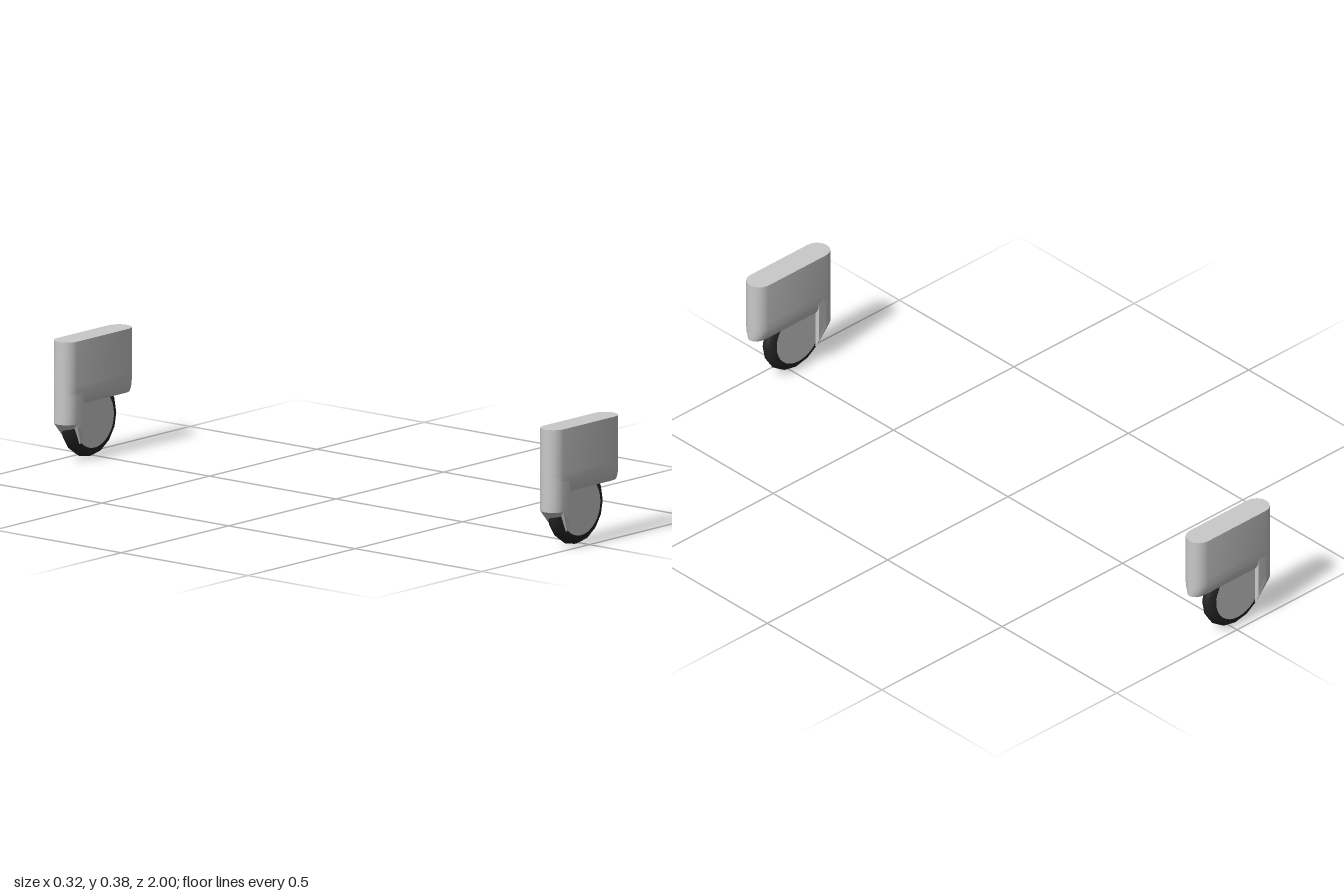
import * as THREE from 'three';
import { toCreasedNormals } from 'three/addons/utils/BufferGeometryUtils.js';

const HALF = 0.04; // half thickness of a caster housing

// Closed solid through rings of [x, y, z] points, listed from bottom to top
function loft(rings) {
  const n = rings[0].length;
  const pos = rings.flat(2);
  const index = [];
  rings.slice(1).forEach((_, r) => {
    for (let i = 0; i < n; i++) {
      const j = (i + 1) % n, a = r * n + i, b = r * n + j;
      index.push(a, a + n, b, b, a + n, b + n);
    }
  });
  const top = (rings.length - 1) * n;
  for (let i = 1; i < n - 1; i++) {
    index.push(0, i, i + 1, top, top + i + 1, top + i);
  }
  const geo = new THREE.BufferGeometry();
  geo.setAttribute('position', new THREE.Float32BufferAttribute(pos, 3));
  geo.setIndex(index);
  return toCreasedNormals(geo, 0.6);
}

// Half-circle end of the rounded outline, as [x, z]
function roundEnd(cx, start) {
  return Array.from({ length: 9 }, (_, i) => {
    const a = start + (i / 8) * Math.PI;
    return [cx + Math.cos(a) * HALF, Math.sin(a) * HALF];
  });
}

// Upper housing: stadium section whose sides draw in at the bottom edge
function housingGeometry() {
  const outline = [...roundEnd(0.12, -Math.PI / 2), ...roundEnd(-0.12, Math.PI / 2)];
  const levels = [[0.178, 0.7], [0.192, 0.9], [0.215, 1], [0.24, 1], [0.377, 1]];
  return loft(levels.map(([y, s]) => outline.map(([x, z]) => [x, y, z * s])));
}

// Fork leg: rounded outer edge, lower end slanting down towards the hub
function legGeometry() {
  const outline = [[-0.09, -HALF], [-0.09, HALF], ...roundEnd(-0.12, Math.PI / 2)];
  const foot = (x) => (x > -0.1 ? 0.055 : 0.122);
  return loft([
    outline.map(([x, z]) => [x, foot(x), z * (x > -0.1 ? 0.7 : 1)]),
    outline.map(([x, z]) => [x, foot(x) + 0.03, z]),
    outline.map(([x, z]) => [x, 0.23, z]),
  ]);
}

// Tyre: rounded profile turned around the axle
function tyreGeometry() {
  const profile = [
    [0.085, -0.024], [0.095, -0.0235], [0.107, -0.019], [0.116, -0.011], [0.12, 0],
    [0.116, 0.011], [0.107, 0.019], [0.095, 0.0235], [0.085, 0.024],
  ].map(([r, h]) => new THREE.Vector2(r, h));
  return new THREE.LatheGeometry(profile, 16).rotateX(Math.PI / 2);
}

export function createModel() {
  const grey = new THREE.MeshStandardMaterial({ color: 0xcacaca });
  grey.name = 'light grey';
  const black = new THREE.MeshStandardMaterial({ color: 0x262626 });
  black.name = 'rubber black';

  const hub = new THREE.CylinderGeometry(0.09, 0.09, 0.0485, 32).rotateX(Math.PI / 2);
  const parts = [
    ['housing', housingGeometry(), grey, 0, 0],
    ['forkLeg', legGeometry(), grey, 0, 0],
    ['tyre', tyreGeometry(), black, -0.02, 0.122],
    ['hub', hub, grey, -0.02, 0.122],
  ];

  const model = new THREE.Group();
  model.name = 'casterPair';
  for (const [name, z] of [['frontCaster', 0.96], ['rearCaster', -0.96]]) {
    const caster = new THREE.Group();
    caster.name = name;
    caster.position.z = z;
    for (const [partName, geo, mat, x, y] of parts) {
      const mesh = new THREE.Mesh(geo, mat);
      mesh.name = partName;
      mesh.position.set(x, y, 0);
      caster.add(mesh);
    }
    model.add(caster);
  }
  return model;
}
